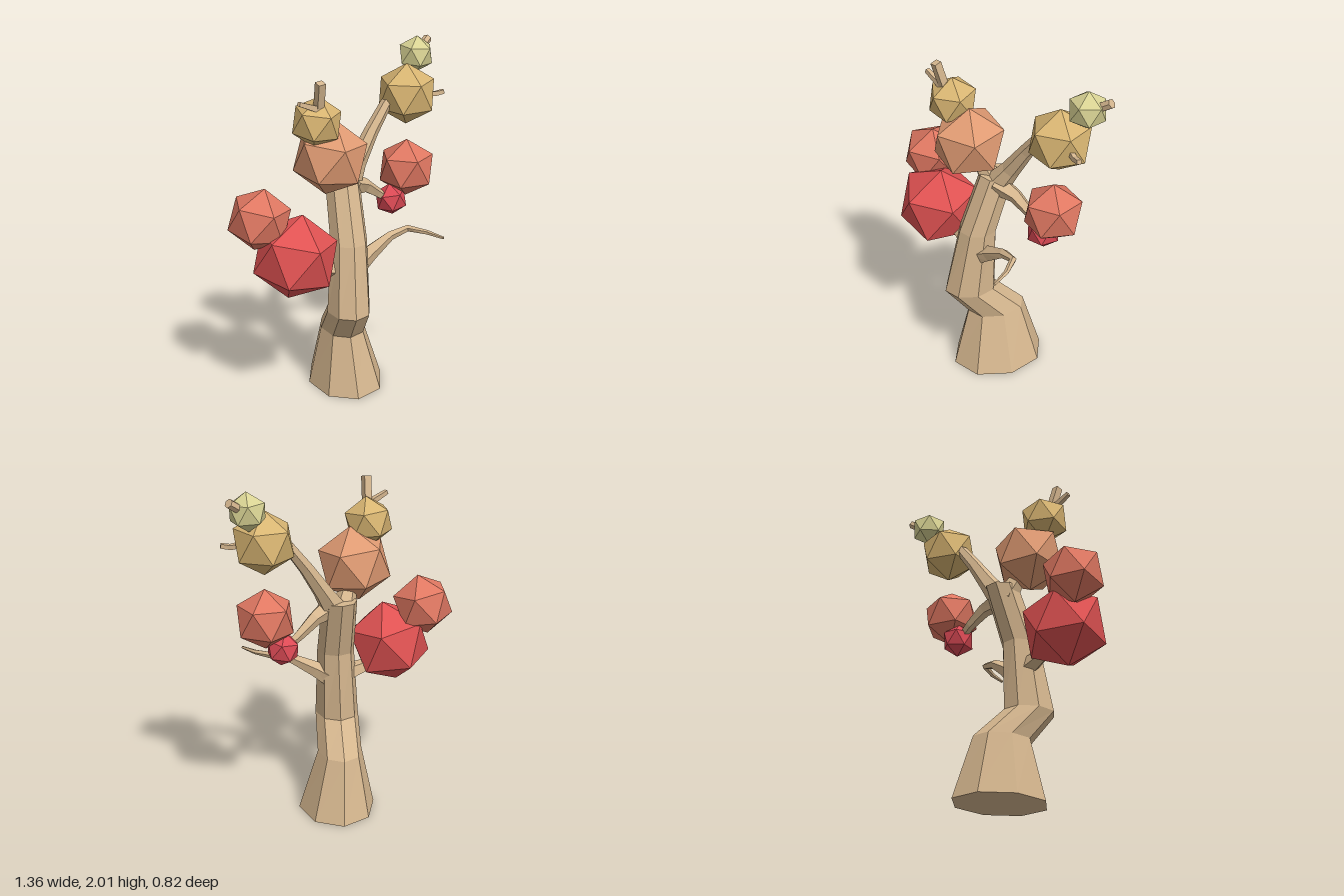
import * as THREE from 'three';

const BARK = 0xd6b78f;
const V = (x, y, z) => new THREE.Vector3(x, y, z);

// Faceted limb through rings [x, y, z, radius, depthRadius]; level keeps rings horizontal
function limb(name, rings, sides, level = false) {
  const centres = rings.map(r => V(r[0], r[1], r[2]));
  const pos = [], index = [];
  rings.forEach((r, k) => {
    const t = centres[Math.min(k + 1, rings.length - 1)].clone()
      .sub(centres[Math.max(k - 1, 0)]).normalize();
    let u = V(0, 0, 1), v = V(1, 0, 0);
    if (!level) {
      u = t.clone().cross(V(0.3, 0.1, 1)).normalize();
      v = t.clone().cross(u);
    }
    for (let i = 0; i < sides; i++) {
      const a = (i + (level ? 0 : 0.5)) / sides * Math.PI * 2;
      const p = centres[k].clone()
        .addScaledVector(u, Math.cos(a) * (r[4] ?? r[3]))
        .addScaledVector(v, Math.sin(a) * r[3]);
      pos.push(p.x, p.y, p.z);
    }
  });
  const last = (rings.length - 1) * sides;
  for (let k = 0; k < rings.length - 1; k++) {
    for (let i = 0; i < sides; i++) {
      const j = (i + 1) % sides, a = k * sides, b = a + sides;
      index.push(a + i, a + j, b + j, a + i, b + j, b + i);
    }
  }
  for (let i = 1; i < sides - 1; i++) {
    index.push(0, i + 1, i, last, last + i, last + i + 1);
  }
  const geo = new THREE.BufferGeometry();
  geo.setAttribute('position', new THREE.Float32BufferAttribute(pos, 3));
  geo.setIndex(index);
  geo.computeVertexNormals();
  const mesh = new THREE.Mesh(geo, new THREE.MeshStandardMaterial({ color: BARK, flatShading: true }));
  mesh.name = name;
  return mesh;
}

// Icosahedron of foliage with one corner pointing along pole, spun about it
function foliage(name, color, centre, radius, pole, spin) {
  const geo = new THREE.IcosahedronGeometry(radius, 0);
  const corner = V(0, 1, (1 + Math.sqrt(5)) / 2).normalize();
  geo.applyQuaternion(new THREE.Quaternion().setFromUnitVectors(corner, V(0, 1, 0)));
  geo.rotateY(spin);
  geo.applyQuaternion(new THREE.Quaternion().setFromUnitVectors(V(0, 1, 0), V(...pole).normalize()));
  const mesh = new THREE.Mesh(geo, new THREE.MeshStandardMaterial({ color, flatShading: true }));
  mesh.position.set(...centre);
  mesh.name = name;
  return mesh;
}

export function createModel() {
  const tree = new THREE.Group();
  tree.name = 'tree';

  // Crooked trunk
  tree.add(limb('trunk', [
    [0.02, 0, -0.03, 0.225, 0.28],
    [0, 0.36, -0.025, 0.13, 0.175],
    [-0.008, 0.54, 0.135, 0.127, 0.155],
    [0.005, 0.95, 0.09, 0.108, 0.11],
    [0, 1.29, -0.03, 0.1, 0.1],
  ], 8, true));

  // Branches
  tree.add(limb('upperBranch', [
    [0.03, 1.24, -0.02, 0.075], [0.1, 1.36, -0.07, 0.055],
    [0.2, 1.52, -0.12, 0.042], [0.3, 1.66, -0.165, 0.035], [0.4, 1.7, -0.2, 0.03],
  ], 6));
  tree.add(limb('crownBranch', [
    [-0.02, 1.22, -0.02, 0.075], [-0.06, 1.34, 0.04, 0.05], [-0.1, 1.45, 0.09, 0.04],
  ], 6));
  tree.add(limb('middleBranch', [
    [0.05, 1.25, -0.01, 0.065], [0.15, 1.21, -0.08, 0.042],
    [0.24, 1.14, -0.13, 0.03], [0.33, 1.07, -0.165, 0.02],
  ], 5));
  tree.add(limb('bareBranch', [
    [0.05, 0.79, 0.08, 0.085, 0.06], [0.14, 0.85, 0.065, 0.055, 0.045],
    [0.27, 0.93, 0.04, 0.028], [0.38, 0.96, 0.03, 0.02],
    [0.47, 0.955, 0.11, 0.014], [0.535, 0.95, 0.205, 0.008],
  ], 5));
  tree.add(limb('lowerBranch', [
    [-0.05, 0.79, 0.1, 0.06], [-0.18, 0.82, 0.13, 0.042], [-0.32, 0.92, 0.2, 0.03],
  ], 5));

  // Twigs poking out of the foliage
  tree.add(limb('uprightTwig', [[-0.195, 1.74, 0.19, 0.03], [-0.197, 1.93, 0.245, 0.03]], 4));
  tree.add(limb('sideTwig', [
    [-0.17, 1.77, 0.2, 0.026], [-0.23, 1.79, 0.22, 0.022], [-0.318, 1.83, 0.255, 0.016],
  ], 4));
  tree.add(limb('tipTwig', [[0.55, 1.91, -0.33, 0.026], [0.625, 1.97, -0.385, 0.026]], 6));
  tree.add(limb('shortTwig', [
    [0.53, 1.7, -0.2, 0.02], [0.61, 1.685, -0.2, 0.018], [0.663, 1.695, -0.2, 0.017],
  ], 4));

  // Faceted foliage clumps: name, colour, centre, radius, pole, spin
  [
    ['largeRedFoliage', 0xe05252, [-0.335, 0.94, 0.2], 0.25, [0.18, 1, 0], 0.3],
    ['rightSalmonFoliage', 0xe07862, [-0.525, 1.17, 0.165], 0.182, [0.18, 1, 0.05], 0.2],
    ['peachFoliage', 0xe09b73, [-0.105, 1.465, 0.095], 0.218, [0.12, 1, 0.03], 0.1],
    ['rightGoldFoliage', 0xd8b572, [-0.195, 1.69, 0.155], 0.145, [0.1, 1, 0.05], 0.3],
    ['leftGoldFoliage', 0xd8b572, [0.435, 1.7, -0.2], 0.18, [0, 1, 0], 0.2],
    ['paleGreenFoliage', 0xd8d293, [0.525, 1.9, -0.305], 0.108, [0.05, 1, 0], 0.6],
    ['leftSalmonFoliage', 0xe07862, [0.435, 1.26, -0.175], 0.173, [0, 1, 0], 0.1],
    ['smallRedFoliage', 0xdc4a55, [0.34, 1.075, -0.165], 0.098, [-0.12, 1, 0], 0.4],
  ].forEach(f => tree.add(foliage(...f)));

  return tree;
}
